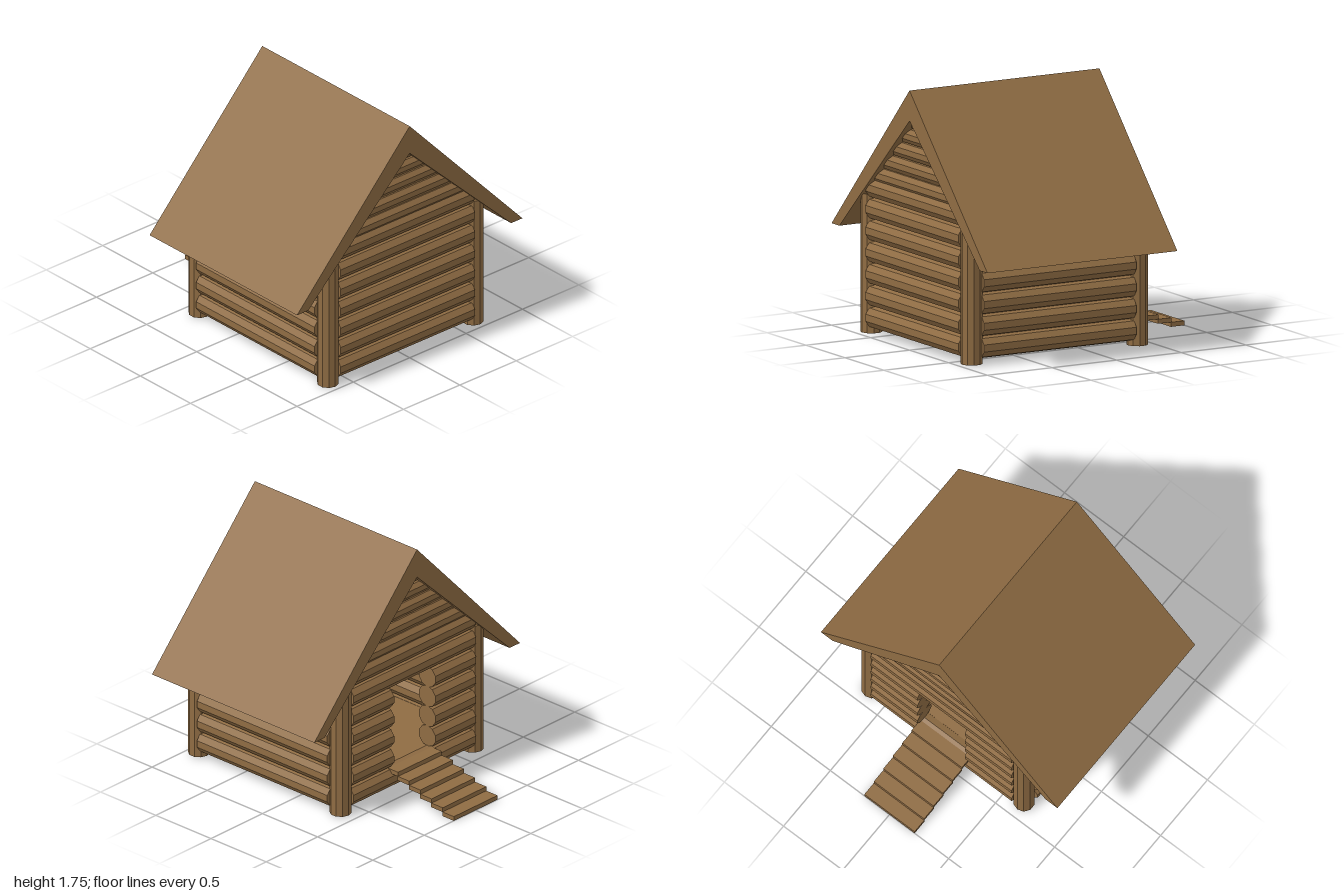
import * as THREE from 'three';

export function createModel() {
  const wood = new THREE.MeshStandardMaterial({ color: 0x8f6c43, flatShading: true });
  wood.name = 'brown wood';
  const cabin = new THREE.Group();
  cabin.name = 'logCabin';

  const POST_X = 0.643, FRONT_Z = 0.907, BACK_Z = -0.375, MID_Z = 0.266;
  const LOG_R = 0.078, ROW_STEP = 0.147, ROW_Y = 0.118, HALF = 0.595;
  const SIDES = 10, DOOR = 0.2;

  function add(name, geometry, x, y, z, parent = cabin) {
    const mesh = new THREE.Mesh(geometry, wood);
    mesh.name = name;
    mesh.position.set(x, y, z);
    parent.add(mesh);
    return mesh;
  }

  // A log lying along x, with a corner at the very top and bottom
  function log(radius, length) {
    return new THREE.CylinderGeometry(radius, radius, length, SIDES, 1, false, Math.PI / 2)
      .rotateZ(Math.PI / 2);
  }

  // A log whose ends are cut to the slope of the roof underside
  function gableLog(radius, y) {
    const g = log(radius, 2);
    const p = g.attributes.position;
    for (let i = 0; i < p.count; i++) {
      const reach = (1.55 - (y + p.getY(i))) / 0.956 + 0.015;
      p.setX(i, p.getX(i) * Math.max(0.001, Math.min(HALF, reach)));
    }
    g.computeVertexNormals();
    return g;
  }

  // Corner posts
  for (const x of [-POST_X, POST_X]) {
    for (const z of [FRONT_Z, BACK_Z]) {
      add('cornerPost', new THREE.CylinderGeometry(0.073, 0.073, 0.94, SIDES), x, 0.48, z);
    }
  }

  // Walls: six rows of logs, with the doorway left open in the back wall
  const walls = new THREE.Group();
  walls.name = 'walls';
  cabin.add(walls);
  for (let row = 0; row < 6; row++) {
    const y = ROW_Y + row * ROW_STEP;
    add('frontLog', log(LOG_R, HALF * 2), 0, y, FRONT_Z, walls);
    for (const side of [-1, 1]) {
      add('sideLog', log(LOG_R, 1.18).rotateY(Math.PI / 2), side * POST_X, y, MID_Z, walls);
    }
    if (row === 0 || row === 5) {
      add('backLog', log(LOG_R, HALF * 2), 0, y, BACK_Z, walls);
    } else {
      for (const side of [-1, 1]) {
        add('doorSideLog', log(LOG_R, HALF - DOOR), side * (HALF + DOOR) / 2, y, BACK_Z, walls);
      }
    }
  }

  // Gables: closer-set logs that shorten towards the ridge
  const gableRows = [[0.998, LOG_R], [1.095, 0.066], [1.205, 0.064],
    [1.315, 0.062], [1.422, 0.06], [1.53, 0.058]];
  for (const z of [FRONT_Z, BACK_Z]) {
    for (const [y, r] of gableRows) add('gableLog', gableLog(r, y), 0, y, z, walls);
  }

  // Roof: one thick inverted V
  const profile = new THREE.Shape([[-1, 0.69], [-0.9, 0.69], [0, 1.55], [0.9, 0.69], [1, 0.69], [0, 1.755]]
    .map(([x, y]) => new THREE.Vector2(x, y)));
  add('roof', new THREE.ExtrudeGeometry(profile, { depth: 1.47, bevelEnabled: false }), 0, 0, -0.47);

  // Floor between the sill logs
  add('floor', new THREE.BoxGeometry(POST_X * 2, 0.06, FRONT_Z - BACK_Z), 0, 0.15, MID_Z);

  // Steps up to the doorway
  for (let i = 0; i < 6; i++) {
    add('step', new THREE.BoxGeometry(0.425, 0.031, 0.104), 0, 0.0165 + i * 0.031, -0.948 + i * 0.101);
  }

  return cabin;
}
